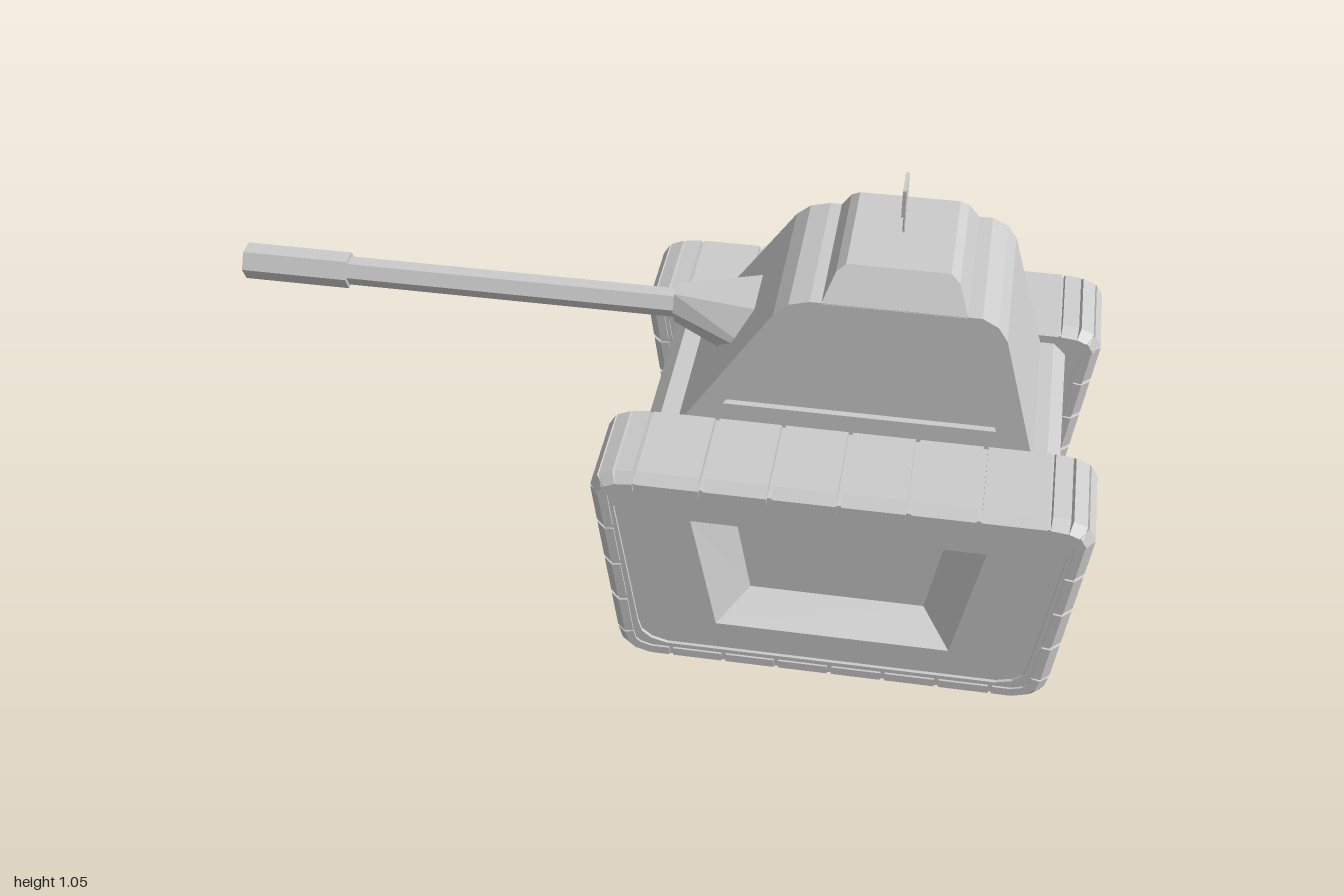
import * as THREE from 'three';

const CX = 0.4535; // middle of the tracks along x
const grey = new THREE.MeshStandardMaterial({ color: 0xcccccc, flatShading: true });

function part(name, geometry, parent) {
  const mesh = new THREE.Mesh(geometry, grey);
  mesh.name = name;
  parent.add(mesh);
  return mesh;
}

const vecs = (pts) => pts.map(([x, y]) => new THREE.Vector2(x, y));

function outline(pts, hole) {
  const shape = new THREE.Shape(vecs(pts));
  if (hole) shape.holes.push(new THREE.Path(vecs(hole)));
  return shape;
}

// Side profile extruded in z, its two faces following z = near(y) and z = far(y)
function slab(pts, near, far, hole) {
  const g = new THREE.ExtrudeGeometry(outline(pts, hole), { depth: 1, bevelEnabled: false });
  const p = g.attributes.position;
  for (let i = 0; i < p.count; i++) p.setZ(i, p.getZ(i) > 0.5 ? far(p.getY(i)) : near(p.getY(i)));
  g.computeVertexNormals();
  return g;
}

// Walls joining equal rings of [x, y, z] points, with a cap on the last ring
function loft(rings) {
  const v = [];
  const n = rings[0].length;
  for (let r = 0; r + 1 < rings.length; r++) {
    for (let i = 0; i < n; i++) {
      const j = (i + 1) % n;
      const [a, b, c, d] = [rings[r][i], rings[r][j], rings[r + 1][j], rings[r + 1][i]];
      v.push(...a, ...b, ...c, ...a, ...c, ...d);
    }
  }
  const end = rings[rings.length - 1];
  for (let i = 1; i + 1 < n; i++) v.push(...end[0], ...end[i], ...end[i + 1]);
  const g = new THREE.BufferGeometry();
  g.setAttribute('position', new THREE.Float32BufferAttribute(v, 3));
  g.computeVertexNormals();
  return g;
}

// Right half of the track loop, bottom to top; mirrored to a counter-clockwise loop
const half = [[0.36, 0], [0.41, 0], [0.45, 0.012], [0.475, 0.035], [0.485, 0.07],
  [0.543, 0.475], [0.525, 0.505], [0.49, 0.52], [0.445, 0.525]];
const loop = [...half, ...half.map(([x, y]) => [-x, y]).reverse()];
const inset = (d) => loop.map(([x, y]) => [x * (1 - d / 0.5), 0.2625 + (y - 0.2625) * (1 - d / 0.2625)]);

// One tread pad lying on the loop from a to b
function padGeometry(a, b) {
  const section = outline([[-0.13, -0.04], [0.13, -0.04], [0.13, -0.02], [0.107, 0],
    [-0.107, 0], [-0.13, -0.02]]);
  const d = new THREE.Vector3(b[0] - a[0], b[1] - a[1], 0);
  const gap = Math.min(0.01, d.length() * 0.15);
  const g = new THREE.ExtrudeGeometry(section, { depth: d.length() - gap, bevelEnabled: false });
  d.normalize();
  const m = new THREE.Matrix4().makeBasis(new THREE.Vector3(0, 0, 1), new THREE.Vector3(d.y, -d.x, 0), d);
  m.setPosition(a[0] + d.x * gap / 2, a[1] + d.y * gap / 2, 0.355);
  return g.applyMatrix4(m);
}

function createTrack(name) {
  const track = new THREE.Group();
  track.name = name;

  // Belt, side plates and sunken window
  const opening = [[-0.26, 0.12], [0.26, 0.12], [0.32, 0.41], [-0.32, 0.41]];
  const floor = [[-0.195, 0.165], [0.195, 0.165], [0.235, 0.375], [-0.235, 0.375]];
  part('trackBelt', slab(inset(0.02), () => 0.23, () => 0.48, inset(0.05)), track);
  part('outerPlate', new THREE.ShapeGeometry(outline(inset(0.045), opening)).translate(0, 0, 0.472), track);
  part('innerPlate', new THREE.ShapeGeometry(outline(inset(0.045))).rotateY(Math.PI).translate(0, 0, 0.235), track);
  part('plateRecess', loft([opening.map((p) => [...p, 0.472]), floor.map((p) => [...p, 0.385])]), track);

  // Tread pads: long edges split evenly, corner edges one pad each
  loop.forEach((a, i) => {
    const b = loop[(i + 1) % loop.length];
    const length = Math.hypot(b[0] - a[0], b[1] - a[1]);
    const count = length > 0.6 ? 6 : length > 0.3 ? 4 : 1;
    const at = (t) => [a[0] + (b[0] - a[0]) * t, a[1] + (b[1] - a[1]) * t];
    for (let k = 0; k < count; k++) part('treadPad', padGeometry(at(k / count), at((k + 1) / count)), track);
  });
  track.position.x = CX;
  return track;
}

export function createModel() {
  const model = new THREE.Group();
  model.name = 'tank';

  // Tracks
  const leftTrack = createTrack('frontSideTrack');
  const rightTrack = createTrack('backSideTrack');
  rightTrack.rotation.y = Math.PI;
  model.add(leftTrack, rightTrack);

  // Hull
  const hull = [[0.065, 0.048], [0.84, 0.048], [0.865, 0.08], [0.915, 0.45], [0.885, 0.483],
    [0.02, 0.483], [-0.012, 0.45], [0.04, 0.08]];
  part('hull', slab(hull, () => -0.233, () => 0.233), model);

  // Turret core with a framed, sunken panel on each side
  const turret = [[0.06, 0.48], [0.855, 0.48], [0.772, 0.78], [0.75, 0.812], [0.715, 0.83],
    [0.345, 0.83], [0.3, 0.818], [0.268, 0.79]];
  const panel = [[0.165, 0.552], [0.768, 0.552], [0.7, 0.785], [0.675, 0.81], [0.36, 0.81], [0.325, 0.785]];
  const side = (y) => 0.233 - 0.085 * (y - 0.48);
  const sunk = (y) => side(y) - 0.016;
  part('turret', slab(turret, (y) => -sunk(y), sunk), model);
  part('turretSideFrame', slab(turret, sunk, side, panel), model);
  part('turretSideFrame', slab(turret, (y) => -side(y), (y) => -sunk(y), panel), model);

  // Cupola
  const cupola = [[0.37, 0.828], [0.685, 0.828], [0.66, 0.885], [0.64, 0.9], [0.415, 0.9], [0.395, 0.885]];
  const cupolaSide = (y) => 0.204 - 0.78 * (y - 0.828);
  part('cupola', slab(cupola, (y) => -cupolaSide(y), cupolaSide), model);

  // Gun mantlet: six-sided wedge widening into the turret
  const hex = (x, top, mid, bottom, wide, narrow) => [[x, mid, wide], [x, top, narrow], [x, top, -narrow],
    [x, mid, -wide], [x, bottom, -narrow], [x, bottom, narrow]];
  part('mantlet', loft([hex(0.25, 0.707, 0.625, 0.53, 0.155, 0.08),
    hex(0.02, 0.69, 0.652, 0.615, 0.042, 0.022)]), model);

  // Six-sided barrel with a hollow muzzle
  const bore = [[0.033, -0.1], [0.033, 0.75], [0.042, 0.75], [0.042, 1], [0.03, 1], [0.03, 0.9], [0, 0.9]];
  const barrel = part('barrel', new THREE.LatheGeometry(vecs(bore), 6), model);
  barrel.rotation.z = Math.PI / 2;
  barrel.position.y = 0.652;

  // Flag and pole
  part('flagPole', new THREE.CylinderGeometry(0.003, 0.003, 0.16, 6), model).position.set(0.525, 0.97, 0);
  part('flag', new THREE.BoxGeometry(0.008, 0.065, 0.077), model).position.set(0.525, 1.0175, 0.0385);

  return model;
}
